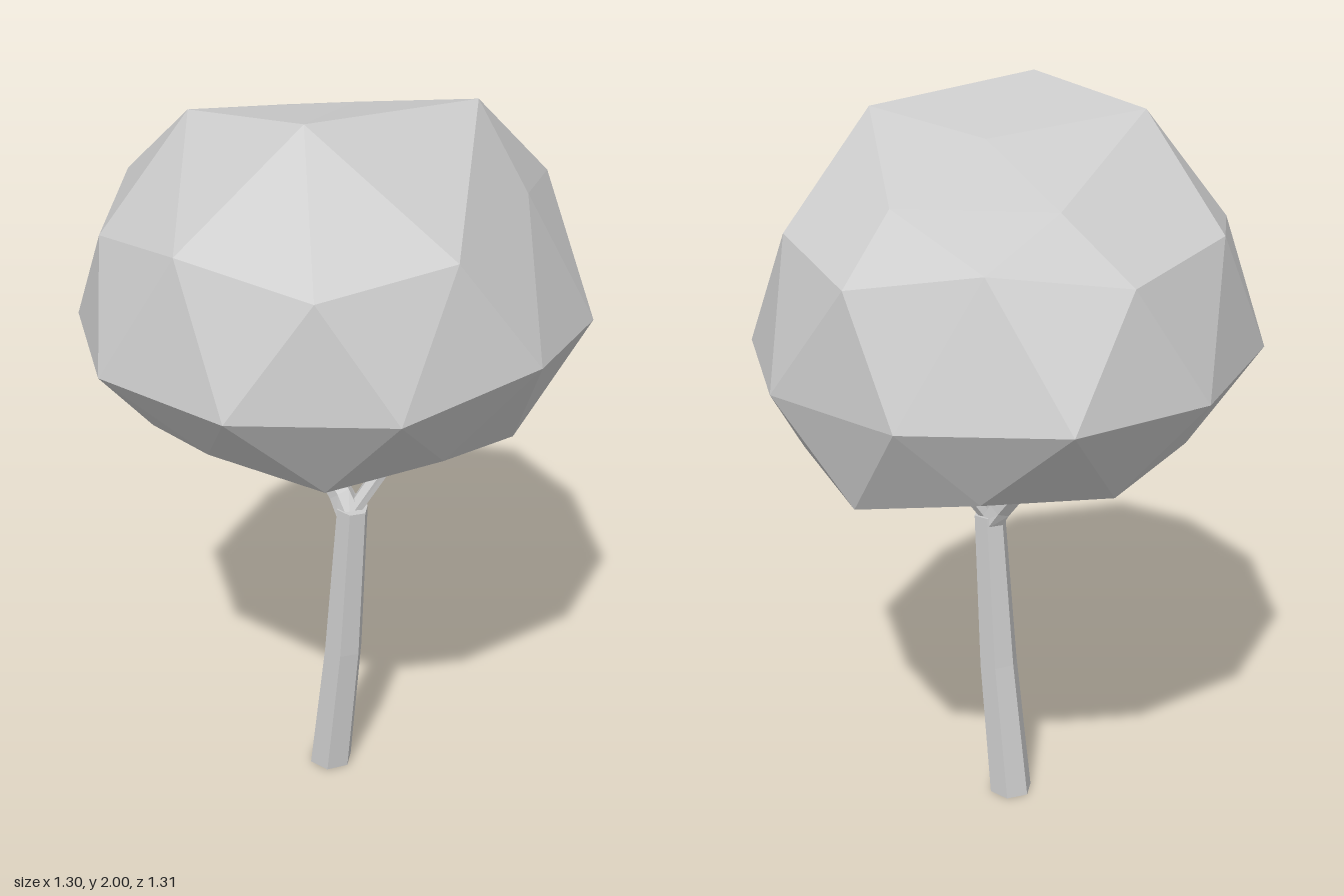
import * as THREE from 'three';

const paleGrey = new THREE.MeshStandardMaterial({ color: 0xcccccc, flatShading: true });
paleGrey.name = 'paleGrey';

function meshFrom(name, triangles) {
  const geometry = new THREE.BufferGeometry().setFromPoints(triangles.flat());
  geometry.computeVertexNormals();
  const mesh = new THREE.Mesh(geometry, paleGrey);
  mesh.name = name;
  return mesh;
}

const V = (p) => new THREE.Vector3(...p);

// Six-sided tapering limb through stations [x, y, z, radius]
function limb(name, path) {
  const centres = path.map(([x, y, z]) => V([x, y, z]));
  const up = new THREE.Vector3(0, 1, 0);
  const rings = path.map((p, i) => {
    const dir = i === 0 ? up : centres[Math.min(i + 1, path.length - 1)].clone().sub(centres[i - 1]).normalize();
    const turn = new THREE.Quaternion().setFromUnitVectors(up, dir);
    return Array.from({ length: 6 }, (_, k) => {
      const a = (k * Math.PI) / 3;
      return new THREE.Vector3(Math.sin(a), 0, Math.cos(a)).multiplyScalar(p[3]).applyQuaternion(turn).add(centres[i]);
    });
  });
  const tris = [];
  const last = rings.length - 1;
  for (let k = 0; k < 6; k++) {
    const n = (k + 1) % 6;
    for (let i = 0; i < last; i++) {
      const [a, b] = [rings[i], rings[i + 1]];
      tris.push([a[k], a[n], b[n]], [a[k], b[n], b[k]]);
    }
    tris.push([centres[0], rings[0][n], rings[0][k]], [centres[last], rings[last][k], rings[last][n]]);
  }
  return meshFrom(name, tris);
}

// Faceted crown: a subdivided icosahedron with an uneven top and a flattened base
function crown() {
  const ring = (count, start, fn) => Array.from({ length: count }, (_, i) => {
    const [rx, rz, y] = fn(i);
    const a = start + (i * 2 * Math.PI) / count;
    return new THREE.Vector3(rx * Math.cos(a), y, rz * Math.sin(a));
  });
  const step = Math.PI / 5;
  const top = V([0.08, 1.92, 0]);
  const upper = [
    [0.43, 1.82, 0], [0.16, 1.97, 0.315], [-0.33, 2, 0.18], [-0.31, 1.955, -0.2], [0.2, 1.82, -0.33],
  ].map(V);
  const shoulder = [
    [0.637, 1.68, -0.04], [0.47, 1.71, 0.32], [0.22, 1.74, 0.43], [-0.2, 1.71, 0.53], [-0.5, 1.66, 0.35],
    [-0.585, 1.71, 0], [-0.5, 1.66, -0.33], [-0.2, 1.71, -0.525], [0.2, 1.68, -0.55], [0.47, 1.73, -0.325],
  ].map(V);
  const girth = ring(10, step / 2, () => [0.685, 0.652, 1.37]);
  girth[2].set(-0.02, 1.42, 0.652);
  girth[7].set(0.03, 1.37, -0.655);
  girth[8].set(0.44, 1.39, -0.565);
  const skirt = ring(10, 0, (i) => (i % 2 ? [0.49, 0.49, 1.165] : [0.48, 0.49, 1.115]));
  skirt[0].set(0.58, 1.1, 0);
  skirt[1].set(0.46, 1.15, 0.29);
  skirt[9].set(0.46, 1.155, -0.3);
  const under = ring(5, step, () => [0.3, 0.3, 1.165]);
  const base = V([0, 1.165, 0]);

  const tris = [];
  for (let k = 0; k < 5; k++) {
    const n = (k + 1) % 5, p = (k + 4) % 5;
    const m = 2 * k, m1 = m + 1, m2 = (m + 2) % 10, m0 = (m + 9) % 10;
    tris.push(
      [top, upper[n], upper[k]],
      [upper[k], upper[n], shoulder[m1]],
      [upper[k], shoulder[m1], shoulder[m]],
      [upper[k], shoulder[m], shoulder[m0]],
      [base, under[k], under[n]],
      [under[k], skirt[m], skirt[m1]],
      [under[k], skirt[m1], skirt[m2]],
      [skirt[m], under[k], under[p]],
    );
  }
  for (let i = 0; i < 10; i++) {
    const n = (i + 1) % 10, p = (i + 9) % 10;
    tris.push(
      [shoulder[i], girth[i], girth[p]],
      [shoulder[i], shoulder[n], girth[i]],
      [skirt[i], girth[p], girth[i]],
      [skirt[n], skirt[i], girth[i]],
    );
  }
  return meshFrom('crown', tris);
}

export function createModel() {
  const tree = new THREE.Group();
  tree.name = 'tree';
  tree.add(
    limb('trunk', [[-0.03, 0, 0.01, 0.061], [-0.03, 0.4, 0.055, 0.054], [-0.03, 0.85, 0.085, 0.044]]),
    limb('rearBranch', [[-0.03, 0.82, 0.085, 0.042], [-0.03, 0.88, 0.045, 0.034], [-0.03, 1.2, -0.21, 0.03]]),
    limb('frontBranch', [[-0.025, 0.84, 0.085, 0.024], [0.093, 1.05, 0.17, 0.023], [0.0, 1.2, 0.27, 0.022]]),
    crown(),
  );
  return tree;
}
